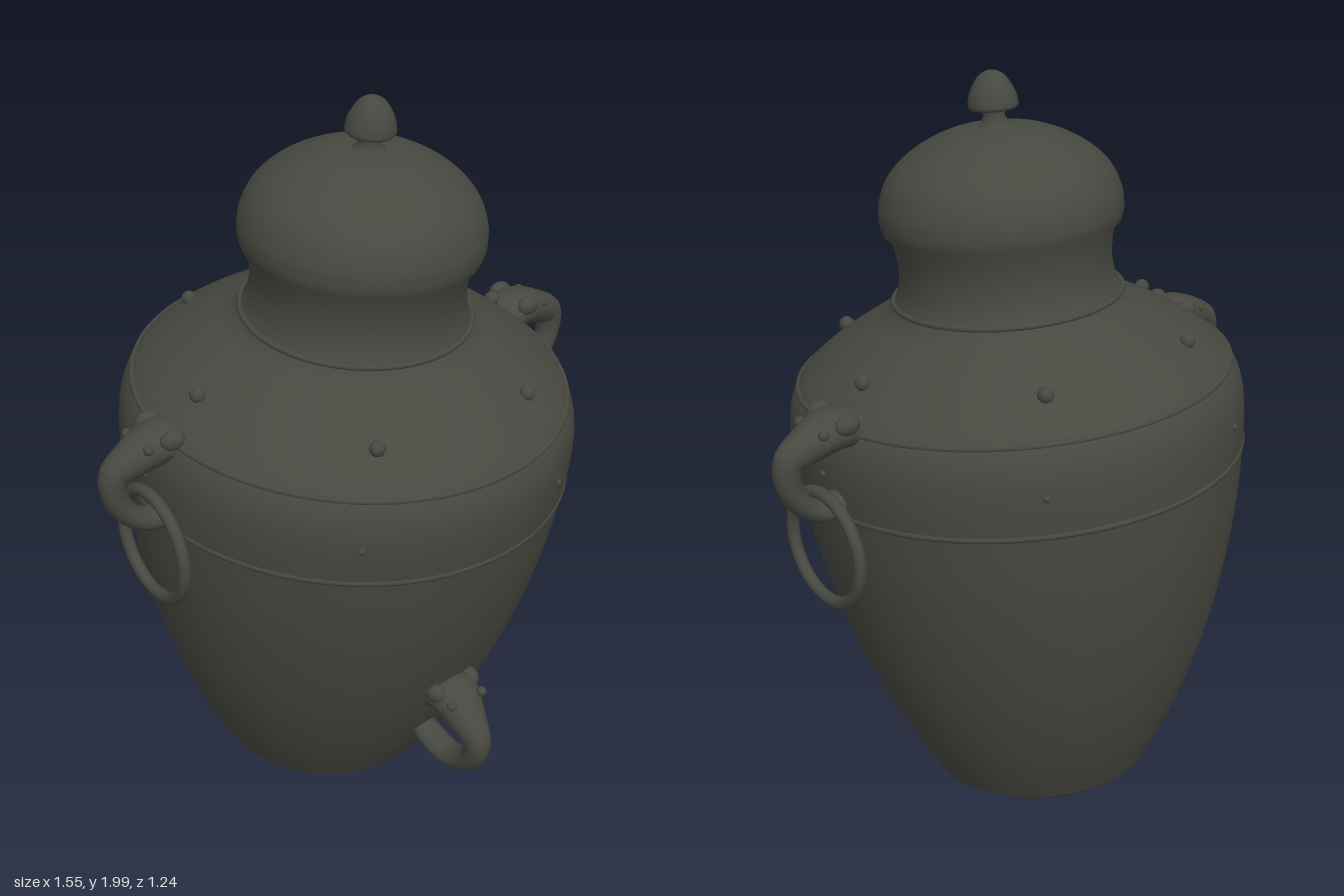
import * as THREE from 'three';

const bronze = new THREE.MeshStandardMaterial({ color: 0x474840 });
bronze.name = 'darkBronze';

function add(parent, name, geometry, x = 0, y = 0, z = 0) {
  const mesh = new THREE.Mesh(geometry, bronze);
  mesh.name = name;
  mesh.position.set(x, y, z);
  parent.add(mesh);
  return mesh;
}

const points = (list) => list.map(([x, y]) => new THREE.Vector2(x, y));
const lathe = (list) => new THREE.LatheGeometry(points(list), 72);
const smooth = (list, n) => new THREE.SplineCurve(points(list)).getPoints(n).map((p) => [Math.max(p.x, 0), p.y]);

// Elliptical sections swept along a path in the xy plane; sizes are [half width in z, half height]
function sweep(path, sizes, steps = 48, sides = 16) {
  const curve = new THREE.CatmullRomCurve3(path.map(([x, y]) => new THREE.Vector3(x, y, 0)));
  const size = new THREE.CatmullRomCurve3(sizes.map(([w, h]) => new THREE.Vector3(w, h, 0)));
  const position = [], index = [];
  for (let i = 0; i <= steps; i++) {
    const p = curve.getPoint(i / steps), t = curve.getTangent(i / steps), s = size.getPoint(i / steps);
    for (let j = 0; j < sides; j++) {
      const a = (j / sides) * Math.PI * 2, h = s.y * Math.cos(a);
      position.push(p.x - t.y * h, p.y + t.x * h, s.x * Math.sin(a));
      if (i === steps) continue;
      const k = (j + 1) % sides, r = i * sides, q = r + sides;
      index.push(r + j, r + k, q + j, r + k, q + k, q + j);
    }
  }
  const g = new THREE.BufferGeometry();
  g.setAttribute('position', new THREE.Float32BufferAttribute(position, 3));
  g.setIndex(index);
  g.computeVertexNormals();
  return g;
}

const headSizes = [[0.075, 0.05], [0.075, 0.052], [0.055, 0.048], [0.038, 0.04],
  [0.034, 0.034], [0.04, 0.03], [0.042, 0.03], [0.036, 0.03]];

// Beast head facing +x whose snout curls back down into the vessel
function beastHead(name, path) {
  const head = new THREE.Group();
  head.name = name;
  add(head, 'headAndLoop', sweep(path, headSizes));
  const [bx, by] = path[1], [sx, sy] = path[3];
  for (const side of [-1, 1]) {
    const ear = add(head, 'ear', new THREE.SphereGeometry(0.03, 12, 8), bx - 0.005, by + 0.025, side * 0.06);
    ear.scale.set(1.2, 0.9, 0.8);
    add(head, 'eye', new THREE.SphereGeometry(0.014, 10, 8), bx + 0.06, by + 0.015, side * 0.052);
  }
  const nose = add(head, 'nose', new THREE.SphereGeometry(0.036, 14, 10), sx, sy + 0.01, 0);
  nose.scale.set(1.05, 0.9, 1);
  return head;
}

export function createModel() {
  const model = new THREE.Group();
  model.name = 'lidded urn';

  // The turned parts share one slightly leaning axis
  const vessel = new THREE.Group();
  vessel.name = 'vessel';
  vessel.position.set(-0.04, 0.03, -0.085);
  vessel.rotation.set(0.083, 0, -0.026);
  model.add(vessel);

  // Body, shoulder and neck
  const wall = smooth([[0.318, 0.012], [0.4, 0.17], [0.482, 0.37], [0.542, 0.57], [0.585, 0.77],
    [0.606, 0.94], [0.613, 1.06], [0.603, 1.14], [0.57, 1.2], [0.49, 1.265], [0.4, 1.32],
    [0.325, 1.362], [0.292, 1.41], [0.281, 1.47], [0.286, 1.53], [0.302, 1.59]], 90);
  add(vessel, 'base', lathe([[0, 0], [0.305, 0], [0.318, 0.012]]));
  add(vessel, 'body', lathe(wall));

  // Raised bands around the body, shoulder and neck
  for (const [r, y, thick] of [[0.603, 0.955, 0.009], [0.578, 1.185, 0.009], [0.303, 1.39, 0.008]]) {
    add(vessel, 'band', new THREE.TorusGeometry(r, thick, 8, 72).rotateX(Math.PI / 2), 0, y, 0);
  }

  // Domed lid with an acorn knob
  add(vessel, 'lidUnderside', lathe([[0.28, 1.58], [0.312, 1.58]]));
  add(vessel, 'lid', lathe(smooth([[0.312, 1.58], [0.319, 1.61], [0.314, 1.66], [0.286, 1.72],
    [0.225, 1.775], [0.14, 1.817], [0.06, 1.833], [0, 1.836]], 40)));
  add(vessel, 'knobStem', lathe([[0.055, 1.825], [0.036, 1.84], [0.028, 1.86], [0.034, 1.885]]));
  add(vessel, 'knobUnderside', lathe([[0, 1.875], [0.06, 1.878]]));
  add(vessel, 'knob', lathe(smooth([[0.06, 1.878], [0.065, 1.888], [0.058, 1.92], [0.038, 1.955],
    [0.018, 1.97], [0, 1.974]], 20)));

  // Small studs around the shoulder, with finer ones between the bands
  for (let i = 0; i < 6; i++) {
    const a = (i / 6) * Math.PI * 2, c = Math.cos(a), s = Math.sin(a);
    add(vessel, 'shoulderStud', new THREE.SphereGeometry(0.021, 10, 8), 0.485 * c, 1.275, 0.485 * s);
    const b = a + 0.06;
    add(vessel, 'bandStud', new THREE.SphereGeometry(0.01, 8, 6), 0.611 * Math.cos(b), 1.06, 0.611 * Math.sin(b));
  }

  // Side handles: a beast head holding a loose ring
  for (const side of [1, -1]) {
    const handle = new THREE.Group();
    handle.name = side > 0 ? 'leftHandle' : 'rightHandle';
    handle.add(beastHead('handleHead', [[0.53, 1.2], [0.6, 1.215], [0.68, 1.19], [0.732, 1.16],
      [0.733, 1.09], [0.69, 1.022], [0.63, 0.997], [0.55, 1.03]]));
    const ring = add(handle, 'ring', new THREE.TorusGeometry(0.15, 0.017, 10, 48), 0.637, side > 0 ? 0.89 : 0.915, 0);
    ring.rotation.set(0, Math.PI / 2, 0);
    handle.rotation.y = side > 0 ? 0 : Math.PI;
    handle.position.z = side > 0 ? -0.015 : 0.005;
    model.add(handle);
  }

  // Front loop low on the body
  const front = beastHead('frontLoop', [[0.4, 0.4], [0.475, 0.425], [0.54, 0.375], [0.583, 0.325],
    [0.565, 0.255], [0.49, 0.207], [0.42, 0.207], [0.32, 0.24]]);
  front.rotation.y = -Math.PI / 2;
  front.position.x = -0.01;
  model.add(front);

  return model;
}
